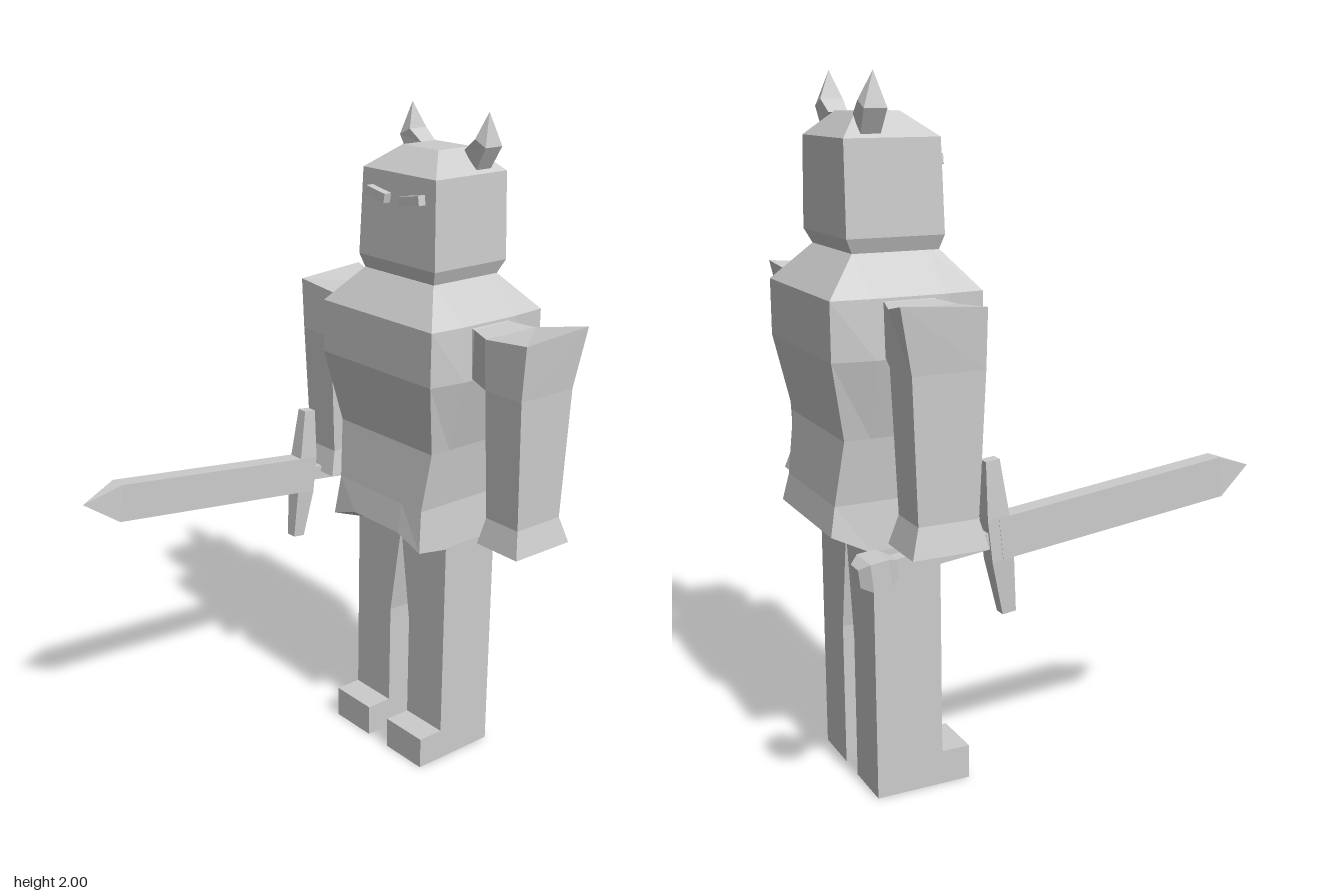
import * as THREE from 'three';

const grey = new THREE.MeshStandardMaterial({ color: 0xcccccc, flatShading: true });
grey.name = 'grey';

// Skin a closed solid through rings of equal point count, faces outward.
function loft(rings) {
  const tris = [];
  const tri = (a, b, c) => {
    const [p, q, r] = [a, b, c].map((v) => new THREE.Vector3(...v));
    if (q.clone().sub(p).cross(r.clone().sub(p)).length() > 1e-7) tris.push([p, q, r]);
  };
  const n = rings[0].length;
  for (let i = 0; i + 1 < rings.length; i++) {
    for (let j = 0; j < n; j++) {
      const k = (j + 1) % n, a = rings[i], b = rings[i + 1];
      tri(a[j], a[k], b[k]);
      tri(a[j], b[k], b[j]);
    }
  }
  const first = rings[0], last = rings[rings.length - 1];
  for (let j = 1; j + 1 < n; j++) {
    tri(first[0], first[j + 1], first[j]);
    tri(last[0], last[j], last[j + 1]);
  }
  // turn the faces around when the enclosed volume comes out negative
  const centre = new THREE.Vector3(...first[0]);
  let volume = 0;
  for (const [p, q, r] of tris) {
    volume += p.clone().sub(centre).dot(q.clone().sub(centre).cross(r.clone().sub(centre)));
  }
  const points = tris.flatMap(([p, q, r]) => (volume < 0 ? [p, r, q] : [p, q, r]));
  const g = new THREE.BufferGeometry().setFromPoints(points);
  g.computeVertexNormals();
  return g;
}

// Rectangular rings lying across the y, z and x axes
const ringY = (y, x0, x1, z0, z1) => [[x0, y, z0], [x1, y, z0], [x1, y, z1], [x0, y, z1]];
const ringZ = (z, x0, x1, y0, y1) => [[x0, y0, z], [x1, y0, z], [x1, y1, z], [x0, y1, z]];
const ringX = (x, y0, y1, z0, z1) => [[x, y0, z0], [x, y1, z0], [x, y1, z1], [x, y0, z1]];

// Torso ring with front points and side points that follow the arm roots
function bodyRing(hx, zf, zb, mx, ys, fx = 0.1) {
  const [yFront, yCorner, ySide, yBack] = Array.isArray(ys) ? ys : [ys, ys, ys, ys];
  return [
    [-fx, yFront, zf], [fx, yFront, zf], [hx, yCorner, zf], [mx, ySide, -0.265], [mx, ySide, -0.465],
    [hx, yBack, zb], [-hx, yBack, zb], [-mx, ySide, -0.465], [-mx, ySide, -0.265], [-hx, yCorner, zf],
  ];
}

export function createModel() {
  const model = new THREE.Group();
  model.name = 'hornedWarrior';
  const add = (name, geometry, parent = model) => {
    const mesh = new THREE.Mesh(geometry, grey);
    mesh.name = name;
    parent.add(mesh);
    return mesh;
  };

  // Torso from collar to flared hem, closed by a sloping underside
  add('torso', loft([
    bodyRing(0.15, -0.235, -0.485, 0.15, 1.535),
    bodyRing(0.24, -0.15, -0.583, 0.25, 1.43),
    bodyRing(0.24, -0.15, -0.583, 0.258, 1.27),
    bodyRing(0.205, -0.195, -0.54, 0.205, 1.05),
    bodyRing(0.187, -0.175, -0.565, 0.187, 0.87),
    bodyRing(0.2, -0.16, -0.582, 0.203, [0.78, 0.745, 0.73, 0.79]),
    bodyRing(0.203, -0.265, -0.465, 0.203, 0.73),
  ]));

  // Head with a bevelled crown
  add('head', loft([
    ringY(1.535, -0.15, 0.15, -0.485, -0.236),
    ringY(1.575, -0.165, 0.165, -0.505, -0.225),
    ringY(1.83, -0.155, 0.155, -0.503, -0.23),
    ringY(1.895, -0.075, 0.075, -0.437, -0.31),
  ]));

  for (const s of [-1, 1]) {
    const side = s > 0 ? 'left' : 'right';

    // Slanted eye block
    const eye = add(side + 'Eye', new THREE.BoxGeometry(0.083, 0.028, 0.032));
    eye.position.set(s * 0.073, 1.764, -0.22);
    eye.rotation.z = s * 0.17;

    // Horn: short root, bend, then a point
    const hornRing = (xa, ya, xb, yb, z0, z1) =>
      [[s * xa, ya, z0], [s * xb, yb, z0], [s * xb, yb, z1], [s * xa, ya, z1]];
    add(side + 'Horn', loft([
      hornRing(0.14, 1.835, 0.09, 1.89, -0.45, -0.395),
      hornRing(0.18, 1.905, 0.137, 1.925, -0.455, -0.39),
      hornRing(0.16, 2.0, 0.16, 2.0, -0.42, -0.42),
    ]));

    // Arm: raised outer shoulder, straight sleeve, flared cuff
    add(side + 'Arm', loft([
      [[s * 0.335, 1.415, -0.465], [s * 0.5, 1.447, -0.5], [s * 0.495, 1.43, -0.262], [s * 0.335, 1.415, -0.262]],
      ringY(1.27, s * 0.345, s * 0.485, -0.465, -0.262),
      ringY(0.88, s * 0.352, s * 0.478, -0.45, -0.28),
      ringY(0.8, s * 0.338, s * 0.498, -0.475, -0.26),
    ]));
    add(side + 'ShoulderJoint', loft([
      ringX(s * 0.235, 1.28, 1.425, -0.44, -0.29),
      ringX(s * 0.258, 1.275, 1.42, -0.44, -0.295),
      ringX(s * 0.345, 1.27, 1.414, -0.465, -0.262),
    ]));

    // Leg with an inner edge that meets the other at the crotch
    const outline = [[0.045, 0], [0.205, 0], [0.203, 0.735], [0, 0.735], [0.045, 0.43]];
    const legRing = (z) => outline.map(([x, y]) => [s * x, y, z]);
    // split into convex lower and upper halves
    add(side + 'LowerLeg', loft([
      ringY(0, s * 0.045, s * 0.205, -0.465, -0.265),
      ringY(0.43, s * 0.045, s * 0.204, -0.465, -0.265),
      ringY(0.735, 0, s * 0.203, -0.465, -0.265),
    ]));
    add(side + 'Foot', loft([
      ringZ(-0.27, s * 0.045, s * 0.205, 0, 0.1),
      ringZ(-0.18, s * 0.045, s * 0.205, 0, 0.1),
    ]));
  }

  // Sword held low at the right side, tilted up toward its tip
  const sword = new THREE.Group();
  sword.name = 'sword';
  sword.position.set(-0.42, 0.803, -0.2);
  sword.rotation.x = -0.115;
  model.add(sword);
  add('blade', loft([
    ringZ(0, -0.027, 0.027, -0.058, 0.058),
    ringZ(0.7, -0.027, 0.027, -0.058, 0.058),
    ringZ(0.813, 0, 0, 0.003, 0.003),
  ]), sword);
  add('guard', loft([
    ringY(-0.215, -0.017, 0.017, -0.015, 0.025),
    ringY(-0.06, -0.026, 0.026, -0.032, 0.032),
    ringY(0.06, -0.026, 0.026, -0.032, 0.032),
    ringY(0.215, -0.017, 0.017, -0.015, 0.025),
  ]), sword);
  add('grip', new THREE.BoxGeometry(0.04, 0.045, 0.32), sword).position.z = -0.15;
  // Eight-sided style pommel with bevelled ends
  add('pommel', loft([
    ringZ(-0.295, -0.022, 0.022, -0.022, 0.022),
    ringZ(-0.325, -0.047, 0.047, -0.038, 0.038),
    ringZ(-0.375, -0.047, 0.047, -0.038, 0.038),
    ringZ(-0.402, -0.025, 0.025, -0.024, 0.024),
  ]), sword);

  return model;
}
